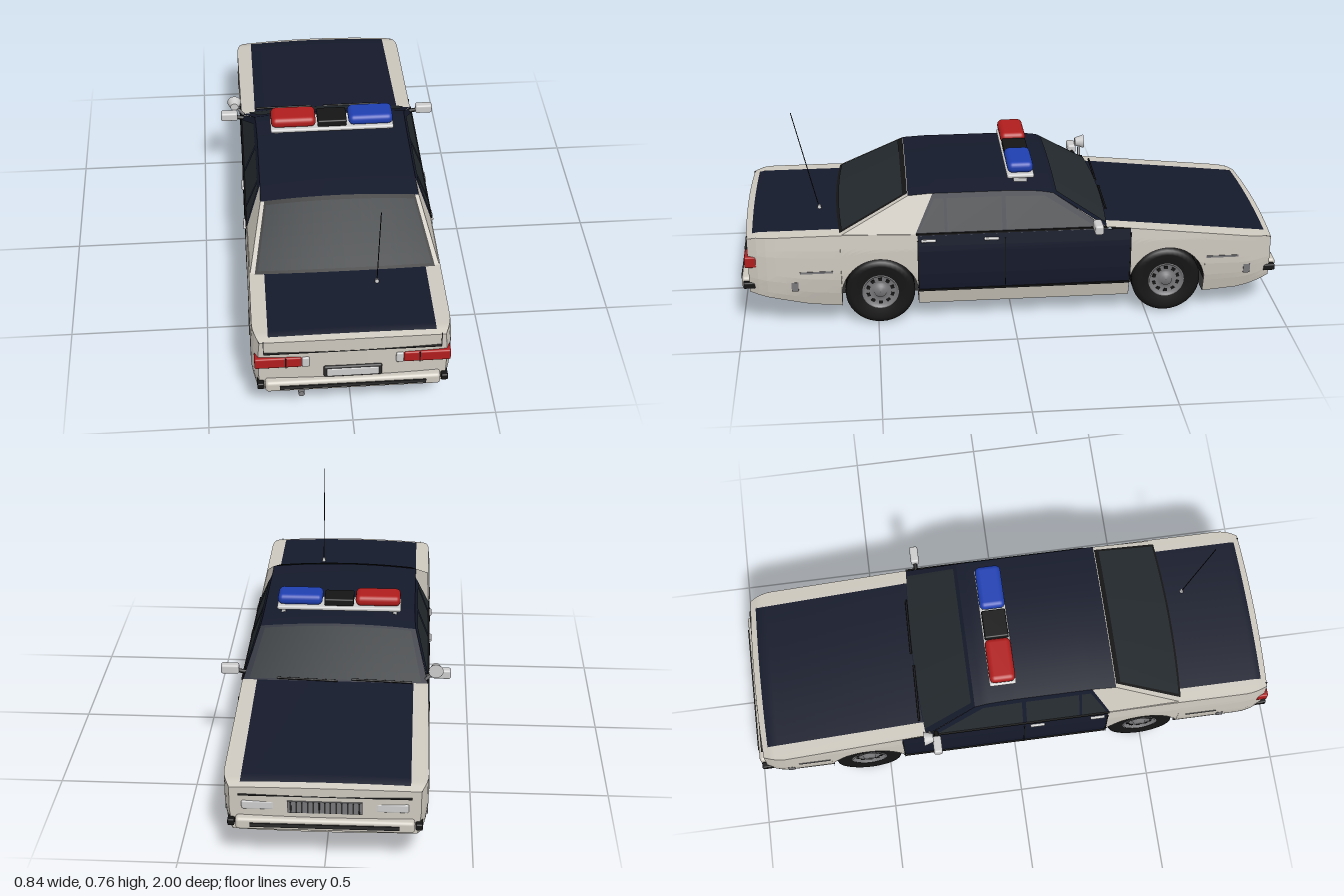
import * as THREE from 'three';
import { ParametricGeometry } from 'three/addons/geometries/ParametricGeometry.js';
import { RoundedBoxGeometry } from 'three/addons/geometries/RoundedBoxGeometry.js';

const WHITE = 0xcdc8be, NAVY = 0x151a2b, GLASS = 0x23292d, BLACK = 0x151515, DARK = 0x2a2a2a;
const RED = 0xb01c1c, BLUE = 0x1f3fb0, GREY = 0xcccccc, STEEL = 0x77777a;
const SIDES = [-1, 1], lerp = THREE.MathUtils.lerp;

// piecewise linear function through [t, value] pairs
const curve = pts => t => {
  let i = 1;
  while (i < pts.length - 1 && t > pts[i][0]) i++;
  const [a, p] = pts[i - 1], [b, q] = pts[i];
  return lerp(p, q, THREE.MathUtils.clamp((t - a) / (b - a), 0, 1));
};

export function createModel() {
  const car = new THREE.Group();
  car.name = 'patrolCar';
  const mats = {};
  const mat = (color, thin) => mats[color + '/' + thin] ??=
    new THREE.MeshStandardMaterial({ color, side: thin ? THREE.DoubleSide : THREE.FrontSide });
  const add = (name, geo, color, pos = [0, 0, 0], thin = false, parent = car) => {
    const m = new THREE.Mesh(geo, mat(color, thin));
    m.name = name;
    m.position.set(...pos);
    parent.add(m);
    return m;
  };
  const box = (name, color, w, h, d, x, y, z) => add(name, new THREE.BoxGeometry(w, h, d), color, [x, y, z]);
  const soft = (name, color, w, h, d, r, x, y, z) =>
    add(name, new RoundedBoxGeometry(w, h, d, 3, r), color, [x, y, z]);
  const patch = (name, color, nu, nv, f) =>
    add(name, new ParametricGeometry((u, v, p) => p.set(...f(u, v)), nu, nv), color, [0, 0, 0], true);
  const rod = (name, color, a, b, r) => {
    const path = new THREE.LineCurve3(new THREE.Vector3(...a), new THREE.Vector3(...b));
    return add(name, new THREE.TubeGeometry(path, 1, r, 8), color, [0, 0, 0], true);
  };

  // body rules: height of belt and underside along z, half width along y
  const END = 0.965, AXLES = [-0.575, 0.49], ARCH = 0.14, AXLE_Y = 0.128;
  const top = curve([[-END, 0.286], [-0.94, 0.297], [-0.36, 0.36], [0.36, 0.36], [0.6, 0.367], [0.93, 0.367], [END, 0.357]]);
  const base = curve([[-END, 0.125], [-0.85, 0.085], [-0.7, 0.07], [0.6, 0.07], [0.75, 0.088], [END, 0.145]]);
  const wide = curve([[0.07, 0.318], [0.14, 0.337], [0.2, 0.345], [0.3, 0.345], [0.37, 0.338]]);
  const ramp = z => Math.max(0, (Math.abs(z) - 0.88) / (END - 0.88)) ** 2;
  const halfX = (y, z) => wide(y) * (1 - 0.07 * ramp(z));
  const bowZ = (x, z) => z + Math.sign(z) * 0.01 * ramp(z) * (1 - (x / 0.33) ** 2);
  const crown = x => 0.009 * Math.max(0, 1 - (x / 0.335) ** 2);
  const deck = (x, z) => [x, top(z) + crown(x), bowZ(x, z)];
  const lower = z => {
    const d = Math.min(...AXLES.map(c => Math.abs(z - c)));
    return d <= ARCH + 1e-5 ? AXLE_Y + Math.sqrt(Math.max(0, ARCH ** 2 - d * d)) : base(z);
  };
  // z stations that land exactly on the wheel arch edges
  const stations = (a, b, c) => {
    const list = [];
    for (let i = 0; i <= 10; i++) list.push(lerp(a, c - ARCH - 0.0005, i / 10));
    for (let i = 0; i <= 20; i++) list.push(c - ARCH * Math.cos(Math.PI * i / 20));
    for (let i = 0; i <= 10; i++) list.push(lerp(c + ARCH + 0.0005, b, i / 10));
    return list;
  };
  const FRONT = stations(-END, -0.434, AXLES[0]), REAR = stations(0.349, END, AXLES[1]);
  const DOOR_Y = 0.132;
  for (const s of SIDES) {
    const skin = (name, color, zs, lo, hi) => patch(name, color, zs.length - 1, 10, (u, v) => {
      const z = zs[Math.round(u * (zs.length - 1))], y = lerp(lo(z), hi(z), v);
      const x = halfX(y, z);
      return [s * x, y, bowZ(x, z)];
    });
    skin('frontFender', WHITE, FRONT, lower, top);
    skin('rearFender', WHITE, REAR, lower, top);
    skin('sill', WHITE, [-0.434, 0.349], base, () => DOOR_Y);
    skin('doors', NAVY, [-0.434, 0.349], () => DOOR_Y, top);
    for (const [a, b] of [[-END, -0.33], [0.35, END]])
      patch('shoulder', WHITE, 4, 30, (u, v) => {
        const z = lerp(a, b, v);
        return deck(s * lerp(0.285, halfX(top(z), z), u), z);
      });
    // door seams, handles, trims and markers
    for (const z of [-0.434, 0.03, 0.349]) box('doorSeam', BLACK, 0.004, 0.19, 0.004, s * 0.344, 0.24, z);
    box('doorTrim', BLACK, 0.006, 0.007, 0.78, s * 0.337, DOOR_Y, -0.042);
    box('beltTrim', BLACK, 0.006, 0.006, 0.7, s * 0.34, 0.36, 0.005);
    for (const z of [0.08, 0.31]) soft('doorHandle', GREY, 0.012, 0.01, 0.055, 0.004, s * 0.345, 0.335, z);
    for (const z of [-0.875, 0.8]) box('sideMarker', STEEL, 0.006, 0.035, 0.025, s * 0.341, 0.17, z);
    for (const z of [-0.78, 0.72]) box('fenderTrim', STEEL, 0.004, 0.008, 0.12, s * 0.345, 0.225, z);
  }
  const panel = (name, color, a, b) =>
    patch(name, color, 16, 16, (u, v) => deck(lerp(-0.285, 0.285, u), lerp(a, b, v)));
  panel('hood', NAVY, -0.945, -0.33);
  panel('trunkLid', NAVY, 0.6, 0.945);
  panel('noseLip', WHITE, -END, -0.945);
  panel('tailLip', WHITE, 0.945, END);
  for (const e of SIDES)
    patch(e < 0 ? 'noseFace' : 'tailFace', WHITE, 20, 10, (u, v) => {
      const z = e * END, y = lerp(base(z), top(z), v), x = (2 * u - 1) * halfX(y, z);
      return [x, y + crown(x) * v, bowZ(x, z)];
    });
  // flat floor, narrowed between the wheels
  const zs = [...FRONT, ...REAR];
  patch('floor', DARK, zs.length - 1, 2, (u, v) => {
    const z = zs[Math.round(u * (zs.length - 1))], inArch = lower(z) > base(z) + 0.01;
    return [(2 * v - 1) * (inArch ? 0.22 : halfX(base(z), z)), base(z), z];
  });

  // cabin: sides lean inward, roof and glass are crowned
  const cabX = y => 0.339 - (y - 0.355) * 0.385;
  const roofY = curve([[-0.15, 0.484], [-0.1, 0.492], [0, 0.497], [0.3, 0.497], [0.38, 0.492]]);
  patch('roof', NAVY, 16, 20, (u, v) => {
    const z = lerp(-0.15, 0.38, v), k = 2 * u - 1;
    return [k * cabX(roofY(z)), roofY(z) + 0.015 * (1 - k * k), z];
  });
  const screen = (name, color, z0, y0, z1, y1, fit, v0, v1, off) => patch(name, color, 16, 6, (u, v) => {
    const t = lerp(v0, v1, v), k = (2 * u - 1) * fit, y = lerp(y0, y1, t), c = 1 - k * k;
    return [k * cabX(y), y + lerp(0.009, 0.015, t) * c + off, lerp(z0, z1, t) + Math.sign(z0) * (0.015 * (1 - t) * c + off)];
  });
  screen('windshieldFrame', NAVY, -0.35, 0.356, -0.15, 0.484, 1, 0, 1, 0);
  screen('windshield', GLASS, -0.35, 0.356, -0.15, 0.484, 0.93, 0.05, 0.95, 0.003);
  screen('rearWindowFrame', WHITE, 0.63, 0.364, 0.38, 0.492, 1, 0, 1, 0);
  screen('rearWindowSeal', BLACK, 0.63, 0.364, 0.38, 0.492, 0.95, 0.01, 1, 0.002);
  screen('rearWindow', GLASS, 0.63, 0.364, 0.38, 0.492, 0.92, 0.05, 0.94, 0.004);
  const sidePanel = (name, color, pts, off) => SIDES.forEach(s => {
    const geo = new THREE.ShapeGeometry(new THREE.Shape(pts.map(p => new THREE.Vector2(...p))));
    const p = geo.attributes.position;
    for (let i = 0; i < p.count; i++) {
      const z = p.getX(i), y = p.getY(i);
      p.setXYZ(i, s * (cabX(y) + off), y, z);
    }
    geo.computeVertexNormals();
    add(name, geo, color, [0, 0, 0], true);
  });
  sidePanel('windowFrame', NAVY, [[-0.35, 0.353], [-0.15, 0.484], [-0.1, 0.492], [0, 0.497], [0.29, 0.497], [0.36, 0.353]], 0);
  sidePanel('rearPillar', WHITE, [[0.36, 0.353], [0.29, 0.497], [0.3, 0.497], [0.38, 0.492], [0.63, 0.364]], 0);
  sidePanel('frontSideWindow', GLASS, [[0.025, 0.366], [0.025, 0.48], [-0.12, 0.476], [-0.3, 0.366]], 0.003);
  sidePanel('rearSideWindow', GLASS, [[0.04, 0.366], [0.04, 0.48], [0.24, 0.48], [0.24, 0.366]], 0.003);
  sidePanel('quarterWindow', GLASS, [[0.25, 0.366], [0.25, 0.48], [0.285, 0.48], [0.345, 0.366]], 0.003);
  for (const x of [-0.17, 0.1]) rod('wiper', BLACK, [x - 0.11, 0.372, -0.363], [x + 0.11, 0.377, -0.358], 0.004);

  // wheels with their dark wells
  const tyre = [[0.066, -0.036], [0.105, -0.043], [0.121, -0.038], [0.128, -0.026], [0.128, -0.008], [0.122, -0.005],
    [0.122, 0.005], [0.128, 0.008], [0.128, 0.026], [0.121, 0.038], [0.105, 0.043], [0.066, 0.036]];
  const rim = [[0.068, 0.036], [0.062, 0.038], [0.056, 0.024], [0.036, 0.03], [0.026, 0.024], [0.022, 0.036], [0, 0.038]];
  const lathe = pts => new THREE.LatheGeometry(pts.map(p => new THREE.Vector2(...p)), 36);
  for (const z of AXLES) for (const s of SIDES) {
    const wheel = new THREE.Group();
    wheel.name = 'wheel';
    wheel.position.set(s * 0.292, AXLE_Y, z);
    wheel.rotation.z = -s * Math.PI / 2;
    add('tyre', lathe(tyre), BLACK, [0, 0, 0], true, wheel);
    add('rim', lathe(rim), STEEL, [0, 0, 0], true, wheel);
    add('innerDisc', new THREE.CylinderGeometry(0.067, 0.067, 0.01, 24), DARK, [0, -0.03, 0], false, wheel);
    for (let i = 0; i < 10; i++) {
      const a = i * Math.PI / 5;
      const slot = add('rimSlot', new THREE.BoxGeometry(0.012, 0.004, 0.014), BLACK,
        [0.046 * Math.cos(a), 0.027, 0.046 * Math.sin(a)], false, wheel);
      slot.rotation.y = -a;
    }
    car.add(wheel);
    patch('wheelWell', BLACK, 16, 1, (u, v) => [s * lerp(0.22, 0.342, v),
      AXLE_Y + ARCH * Math.sin(Math.PI * u), z + ARCH * Math.cos(Math.PI * u)]);
    const wall = add('wheelWellWall', new THREE.CircleGeometry(ARCH, 24, 0, Math.PI), BLACK, [s * 0.22, AXLE_Y, z], true);
    wall.rotation.y = Math.PI / 2;
  }

  // bumpers
  for (const [e, y] of [[1, 0.173], [-1, 0.16]]) {
    soft('bumper', WHITE, 0.6, 0.044, 0.05, 0.012, 0, y, e * 0.97);
    box('bumperStrip', DARK, 0.5, 0.014, 0.006, 0, y, e * 0.996);
    for (const s of SIDES) soft('bumperCorner', BLACK, 0.024, 0.024, 0.045, 0.005, s * 0.315, y, e * 0.965);
  }
  // tail: lights, plate, lid seam, exhaust
  for (const s of SIDES) {
    soft('tailLight', RED, 0.16, 0.043, 0.045, 0.006, s * 0.254, 0.27, 0.956);
    box('tailLightDivider', BLACK, 0.004, 0.042, 0.004, s * 0.228, 0.27, 0.978);
    soft('reverseLight', GREY, 0.026, 0.043, 0.045, 0.006, s * 0.16, 0.27, 0.957);
    box('lidSeam', DARK, 0.003, 0.05, 0.006, s * 0.302, 0.337, 0.966);
  }
  box('lidSeam', DARK, 0.604, 0.003, 0.012, 0, 0.312, 0.97);
  soft('plateFrame', DARK, 0.2, 0.048, 0.016, 0.007, 0, 0.222, 0.975);
  soft('plate', GREY, 0.178, 0.034, 0.012, 0.005, 0, 0.222, 0.98);
  rod('exhaustPipe', STEEL, [-0.175, 0.09, 0.6], [-0.175, 0.09, 0.95], 0.011);
  // nose: slatted grille, lamps and lower intake
  box('grille', STEEL, 0.25, 0.045, 0.012, 0, 0.222, -0.972);
  for (let i = 0; i < 13; i++) box('grilleSlat', DARK, 0.005, 0.04, 0.004, -0.114 + i * 0.019, 0.222, -0.979);
  box('hoodSeam', DARK, 0.58, 0.003, 0.012, 0, 0.262, -0.97);
  for (const s of SIDES) soft('frontLamp', GREY, 0.11, 0.032, 0.03, 0.006, s * 0.225, 0.222, -0.958);

  // roof light bar
  soft('lightBarBase', GREY, 0.465, 0.016, 0.1, 0.007, 0, 0.528, -0.037);
  for (const s of SIDES) {
    box('lightBarFoot', GREY, 0.016, 0.03, 0.05, s * 0.21, 0.512, -0.037);
    soft(s < 0 ? 'redBeacon' : 'blueBeacon', s < 0 ? RED : BLUE, 0.168, 0.042, 0.096, 0.019, s * 0.146, 0.559, -0.037);
  }
  soft('siren', BLACK, 0.11, 0.028, 0.09, 0.006, 0, 0.552, -0.037);

  // mirrors, spotlight and aerial
  for (const s of SIDES) {
    soft('mirror', GREY, 0.066, 0.036, 0.032, 0.008, s * 0.388, 0.384, -0.305);
    rod('mirrorArm', BLACK, [s * 0.325, 0.37, -0.305], [s * 0.365, 0.376, -0.305], 0.008);
  }
  const lamp = add('spotlight', new THREE.CylinderGeometry(0.027, 0.016, 0.035, 20), GREY, [-0.366, 0.415, -0.335]);
  lamp.rotation.x = -Math.PI / 2;
  rod('spotlightArm', STEEL, [-0.33, 0.37, -0.33], [-0.366, 0.41, -0.335], 0.006);
  rod('aerial', BLACK, [0.105, 0.372, 0.705], [0.105, 0.757, 0.793], 0.0016);
  add('aerialBase', new THREE.CylinderGeometry(0.005, 0.008, 0.016, 12), GREY, [0.105, 0.381, 0.706]);
  return car;
}
